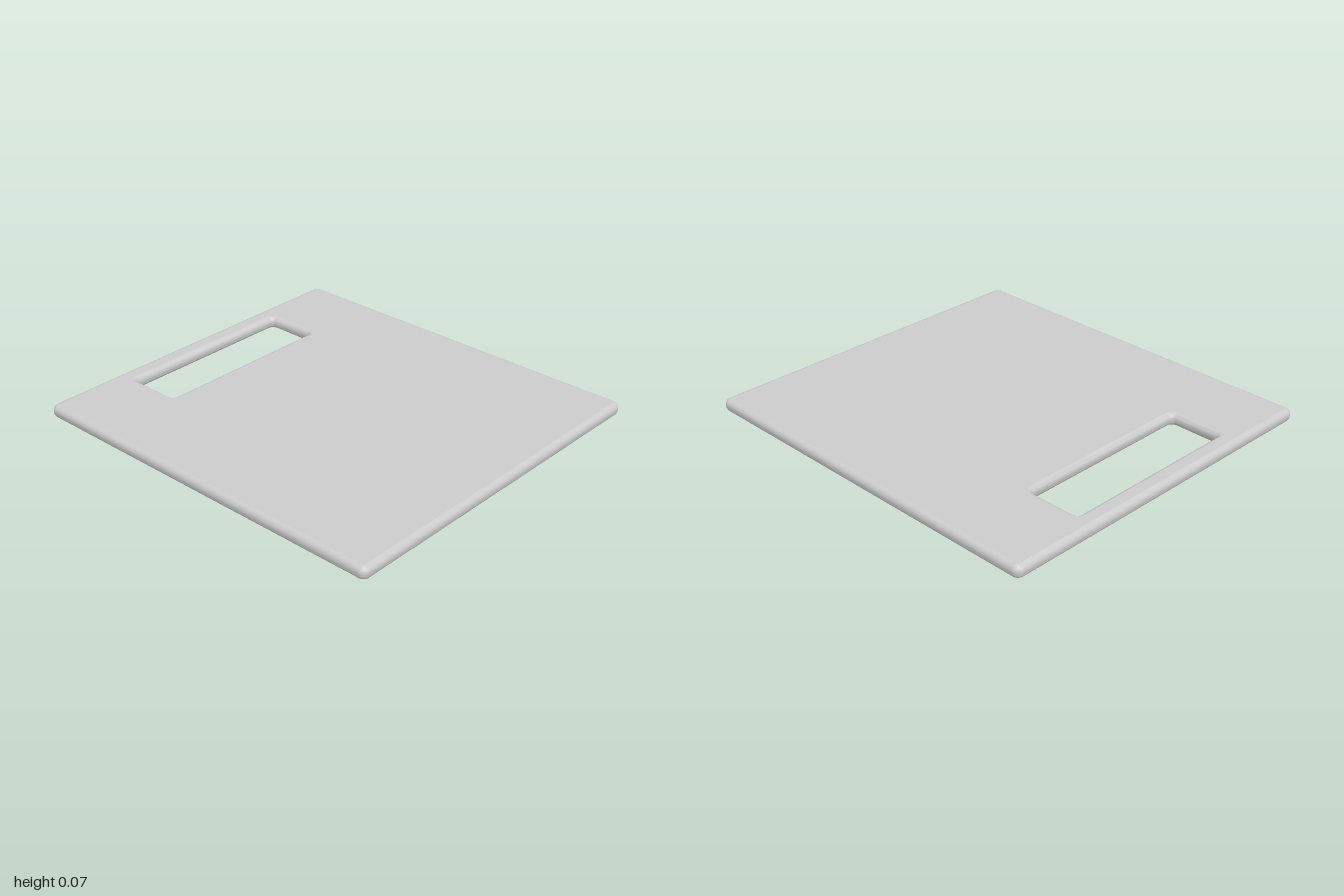
import * as THREE from 'three';
import { toCreasedNormals } from 'three/addons/utils/BufferGeometryUtils.js';

const WIDTH = 1.852, DEPTH = 1.988, HEIGHT = 0.066, ROUND = 0.029;

// Traces a rounded rectangle centred on (cx, cy)
function roundedRect(path, cx, cy, w, h, r) {
  const x = w / 2 - r, y = h / 2 - r;
  path.absarc(cx + x, cy + y, r, 0, Math.PI / 2);
  path.absarc(cx - x, cy + y, r, Math.PI / 2, Math.PI);
  path.absarc(cx - x, cy - y, r, Math.PI, Math.PI * 1.5);
  path.absarc(cx + x, cy - y, r, Math.PI * 1.5, Math.PI * 2);
  path.closePath();
  return path;
}

export function createModel() {
  const group = new THREE.Group();
  group.name = 'cuttingBoard';

  // Board outline and handle slot, offset to leave room for the rounded edges
  const outline = roundedRect(new THREE.Shape(), 0, 0, WIDTH - 2 * ROUND, DEPTH - 2 * ROUND, 0.008);
  outline.holes.push(roundedRect(new THREE.Path(), -0.004, 0.757, 0.952 + 2 * ROUND, 0.27 + 2 * ROUND, 0.05));

  let geometry = new THREE.ExtrudeGeometry(outline, {
    depth: HEIGHT - 2 * ROUND,
    bevelEnabled: true,
    bevelSize: ROUND,
    bevelThickness: ROUND,
    bevelSegments: 6,
    curveSegments: 6,
  });
  geometry.translate(0, 0, ROUND);
  geometry.rotateX(-Math.PI / 2);
  geometry = toCreasedNormals(geometry, 0.6);

  // Keep the broad faces perfectly flat in shading
  const { position, normal } = geometry.attributes;
  for (let i = 0; i < position.count; i++) {
    const y = position.getY(i);
    if (y < 1e-4) normal.setXYZ(i, 0, -1, 0);
    else if (y > HEIGHT - 1e-4) normal.setXYZ(i, 0, 1, 0);
  }

  const board = new THREE.Mesh(geometry, new THREE.MeshStandardMaterial({ color: 0xcccccc }));
  board.name = 'board';
  board.rotation.y = 0.006; // lies very slightly turned
  group.add(board);
  return group;
}
